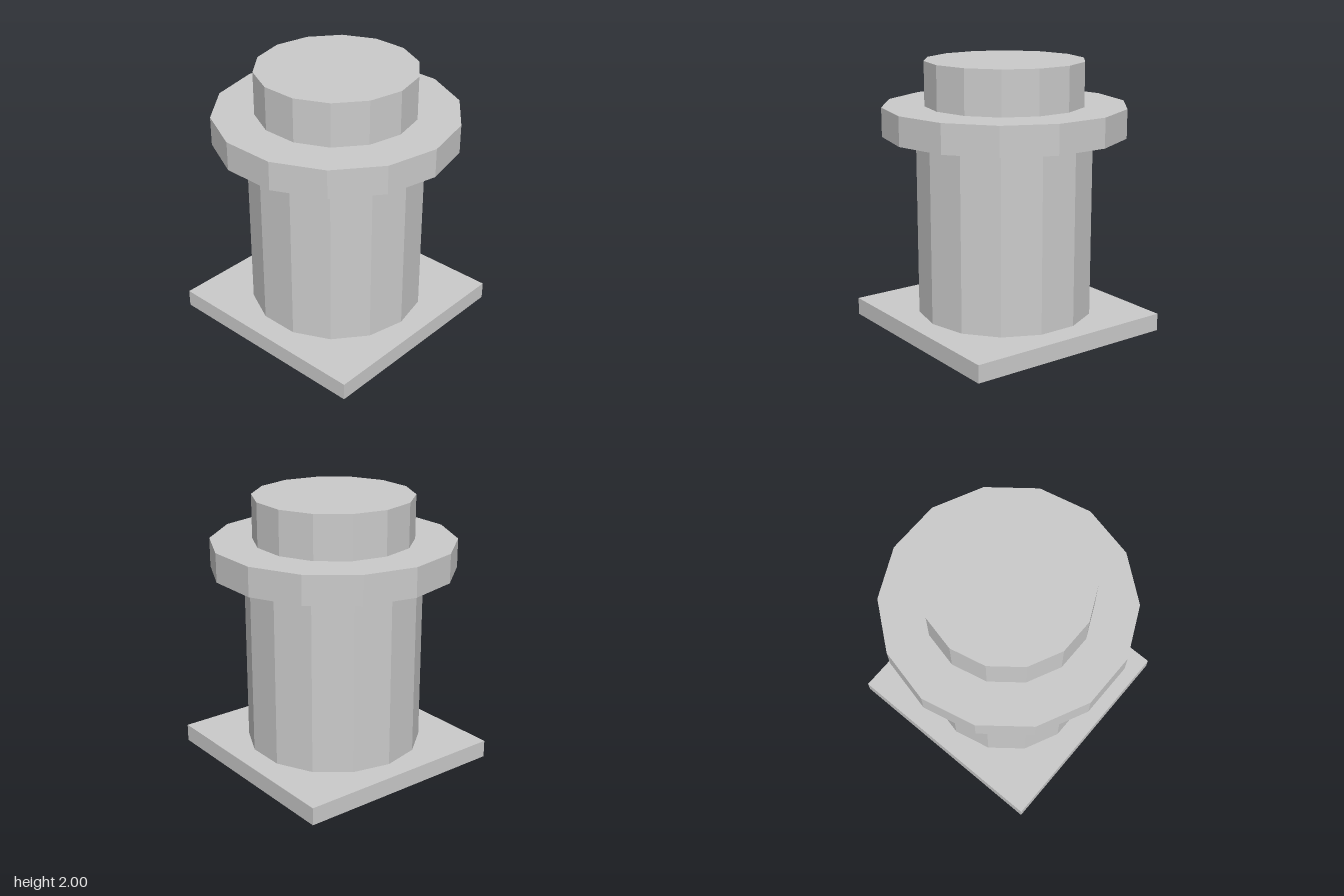
import * as THREE from 'three';

const SIDES = 14;

export function createModel() {
  const group = new THREE.Group();
  const material = new THREE.MeshStandardMaterial({ color: 0xcccccc, flatShading: true });

  const add = (name, geometry, bottom, top) => {
    const mesh = new THREE.Mesh(geometry, material);
    mesh.name = name;
    mesh.position.y = (bottom + top) / 2;
    group.add(mesh);
  };
  const addDrum = (name, radius, bottom, top) =>
    add(name, new THREE.CylinderGeometry(radius, radius, top - bottom, SIDES), bottom, top);

  // Square foot plate
  add('basePlate', new THREE.BoxGeometry(1.624, 0.13, 1.624), 0, 0.13);

  // Faceted column, wide collar and top cap
  addDrum('column', 0.65, 0.13, 1.465);
  addDrum('collar', 0.893, 1.465, 1.677);
  addDrum('cap', 0.585, 1.677, 2);

  return group;
}
